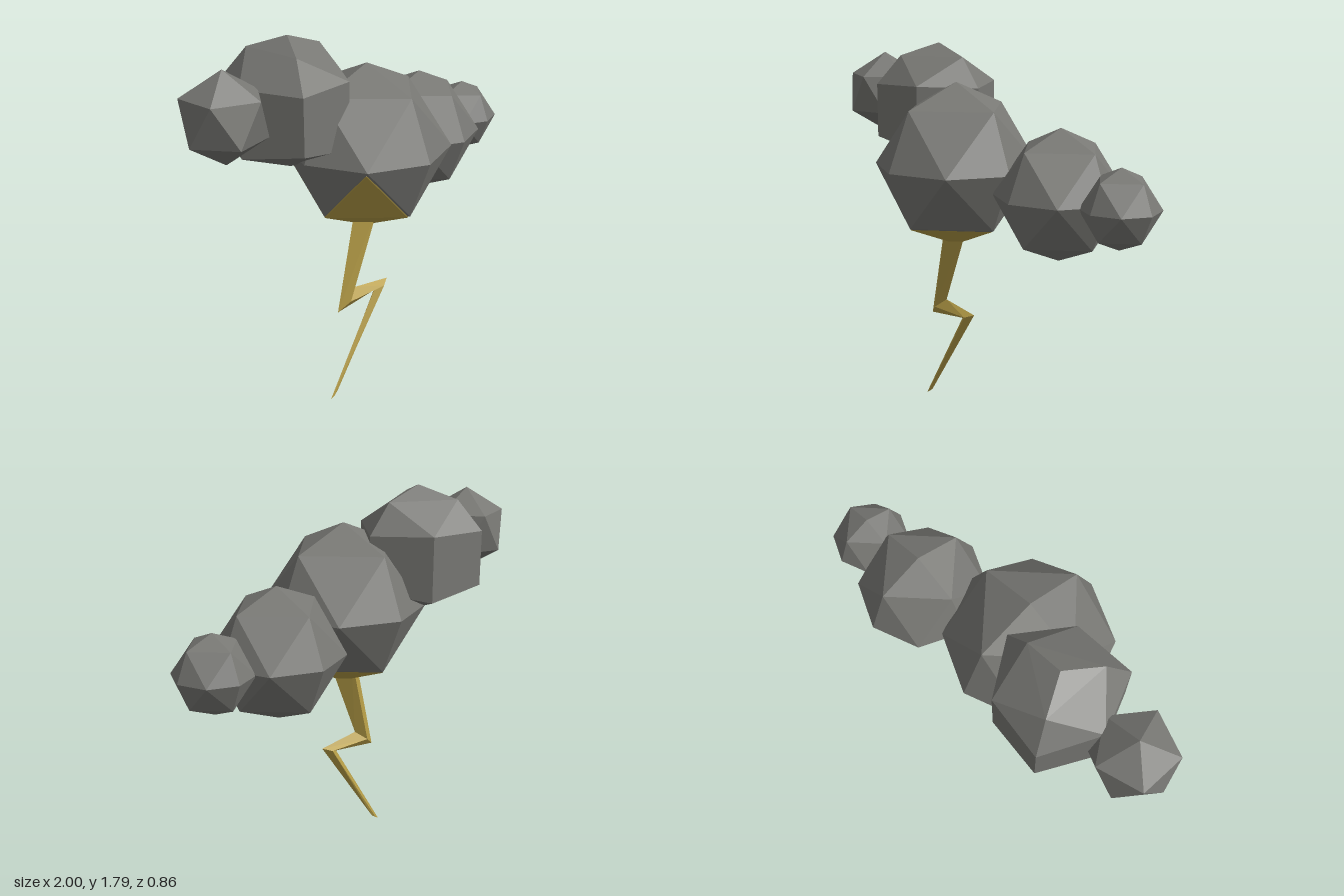
import * as THREE from 'three';
import { ConvexGeometry } from 'three/addons/geometries/ConvexGeometry.js';

const cloudGrey = new THREE.MeshStandardMaterial({ color: 0x787874 });
cloudGrey.name = 'cloudGrey';
const boltGold = new THREE.MeshStandardMaterial({ color: 0xb89f48 });
boltGold.name = 'boltGold';

// Faceted puff: an octahedron split once
function octaPuff(r) {
  const g = new THREE.OctahedronGeometry(r, 1);
  g.computeVertexNormals();
  return g;
}

// Faceted puff from rings of [radius, y, count, startDegrees]
function ringPuff(rings) {
  const points = [];
  for (const [r, y, count, start] of rings) {
    for (let i = 0; i < count; i++) {
      const a = THREE.MathUtils.degToRad(start + (360 * i) / count);
      points.push(new THREE.Vector3(r * Math.cos(a), y, r * Math.sin(a)));
    }
  }
  return new ConvexGeometry(points);
}

// Zigzag bolt: diamond sections [left x, y, right x, y, half depth], top to tip
function boltGeometry(sections) {
  const rings = sections.map(([lx, ly, rx, ry, d]) => {
    const mx = (lx + rx) / 2, my = (ly + ry) / 2;
    return [[lx, ly, 0], [mx, my, d], [rx, ry, 0], [mx, my, -d]];
  });
  const pos = [];
  const quad = (a, b, c, d) => pos.push(...a, ...c, ...b, ...b, ...c, ...d);
  for (let s = 0; s < rings.length - 1; s++) {
    for (let i = 0; i < 4; i++) {
      const j = (i + 1) % 4;
      quad(rings[s][i], rings[s][j], rings[s + 1][i], rings[s + 1][j]);
    }
  }
  // End caps
  const t = rings[0], e = rings[rings.length - 1];
  pos.push(...t[0], ...t[1], ...t[2], ...t[0], ...t[2], ...t[3]);
  pos.push(...e[0], ...e[2], ...e[1], ...e[0], ...e[3], ...e[2]);
  const g = new THREE.BufferGeometry();
  g.setAttribute('position', new THREE.Float32BufferAttribute(pos, 3));
  g.computeVertexNormals();
  return g;
}

export function createModel() {
  const group = new THREE.Group();
  group.name = 'stormCloud';
  const add = (name, geometry, material, x, y, z) => {
    const mesh = new THREE.Mesh(geometry, material);
    mesh.name = name;
    mesh.position.set(x, y, z);
    group.add(mesh);
  };

  // Cloud puffs
  add('mainPuff', octaPuff(0.39), cloudGrey, -0.08, 1.245, 0.035);
  add('leftPuff', octaPuff(0.305), cloudGrey, 0.46, 1.163, -0.132);
  add('leftEndPuff', octaPuff(0.181), cloudGrey, 0.817, 1.16, -0.15);
  add('upperPuff', ringPuff([
    [0, 0.31, 1, 0],
    [0.19, 0.25, 3, 0],
    [0.31, 0.11, 3, 0], [0.278, 0.12, 3, 60],
    [0.31, -0.15, 3, 0], [0.278, -0.19, 3, 60],
    [0, -0.29, 1, 0],
  ]), cloudGrey, -0.415, 1.48, -0.117);
  const r = 0.206;
  add('rightEndPuff', ringPuff([
    [0, r, 1, 0], [0.894 * r, 0.447 * r, 5, 0],
    [0.894 * r, -0.447 * r, 5, 180], [0, -r, 1, 0],
  ]), cloudGrey, -0.816, 1.514, -0.066);

  // Golden glow showing through the underside of the main puff
  add('glow', octaPuff(0.3755), boltGold, -0.086, 1.227, 0.035);

  // Lightning bolt
  add('lightningBolt', boltGeometry([
    [-0.147, 1.02, 0.02, 1.0, 0.075],
    [-0.28, 0.455, -0.163, 0.55, 0.03],
    [-0.035, 0.487, 0.056, 0.524, 0.026],
    [-0.335, 0.0, -0.29, 0.03, 0.004],
  ]), boltGold, 0, 0, 0.037);

  return group;
}
